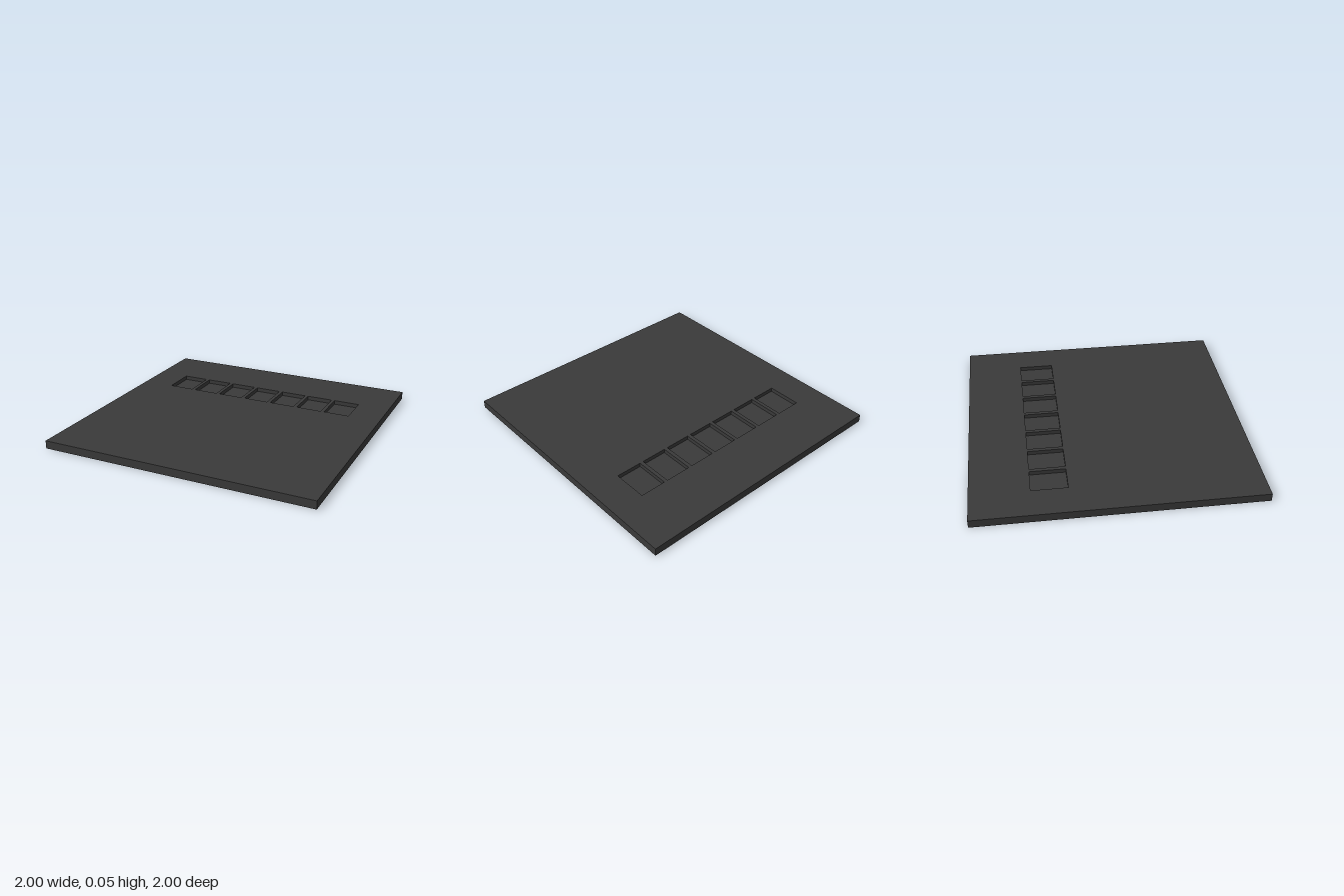
import * as THREE from 'three';

const HALF = 0.908, HEIGHT = 0.053, TURN = 0.107;
const COUNT = 7, PITCH = 0.201, POCKET_W = 0.176, POCKET_D = 0.23, POCKET_Z = -0.418, DEPTH = 0.027;

export function createModel() {
  const model = new THREE.Group();
  const material = new THREE.MeshStandardMaterial({ color: 0x3a3a3a, side: THREE.DoubleSide, flatShading: true });

  const add = (name, geometry, parent) => {
    const mesh = new THREE.Mesh(geometry, material);
    mesh.name = name;
    parent.add(mesh);
    return mesh;
  };

  // Open four-sided band of walls, standing between two heights
  const walls = (w, d, y0, y1) =>
    new THREE.CylinderGeometry(Math.SQRT1_2, Math.SQRT1_2, 1, 4, 1, true)
      .rotateY(Math.PI / 4)
      .scale(w, y1 - y0, d)
      .translate(0, (y0 + y1) / 2, 0)
      .toNonIndexed();

  // Rectangle outline; shape y becomes -z once laid flat
  const rect = (path, x, y, w, h) =>
    path.moveTo(x - w / 2, y - h / 2)
      .lineTo(x + w / 2, y - h / 2)
      .lineTo(x + w / 2, y + h / 2)
      .lineTo(x - w / 2, y + h / 2)
      .closePath();

  const panel = new THREE.Group();
  panel.name = 'panel';
  panel.rotation.y = TURN;
  model.add(panel);

  // Top sheet with a row of openings, and a pocket hanging in each
  const sheet = rect(new THREE.Shape(), 0, 0, 2 * HALF, 2 * HALF);
  for (let i = 0; i < COUNT; i++) {
    const x = (i - (COUNT - 1) / 2) * PITCH;
    sheet.holes.push(rect(new THREE.Path(), x, -POCKET_Z, POCKET_W, POCKET_D));
    const pocket = new THREE.Group();
    pocket.name = 'pocket';
    pocket.position.set(x, 0, POCKET_Z);
    panel.add(pocket);
    add('pocketWalls', walls(POCKET_W, POCKET_D, HEIGHT - DEPTH, HEIGHT), pocket);
    add('pocketFloor', new THREE.PlaneGeometry(POCKET_W, POCKET_D).rotateX(-Math.PI / 2), pocket)
      .position.y = HEIGHT - DEPTH;
  }
  add('topSheet', new THREE.ShapeGeometry(sheet).rotateX(-Math.PI / 2), panel).position.y = HEIGHT;

  // Outer rim, open underneath
  add('rim', walls(2 * HALF, 2 * HALF, 0, HEIGHT), panel);

  return model;
}

// Path.closePath returns the path itself, so outlines can be chained
